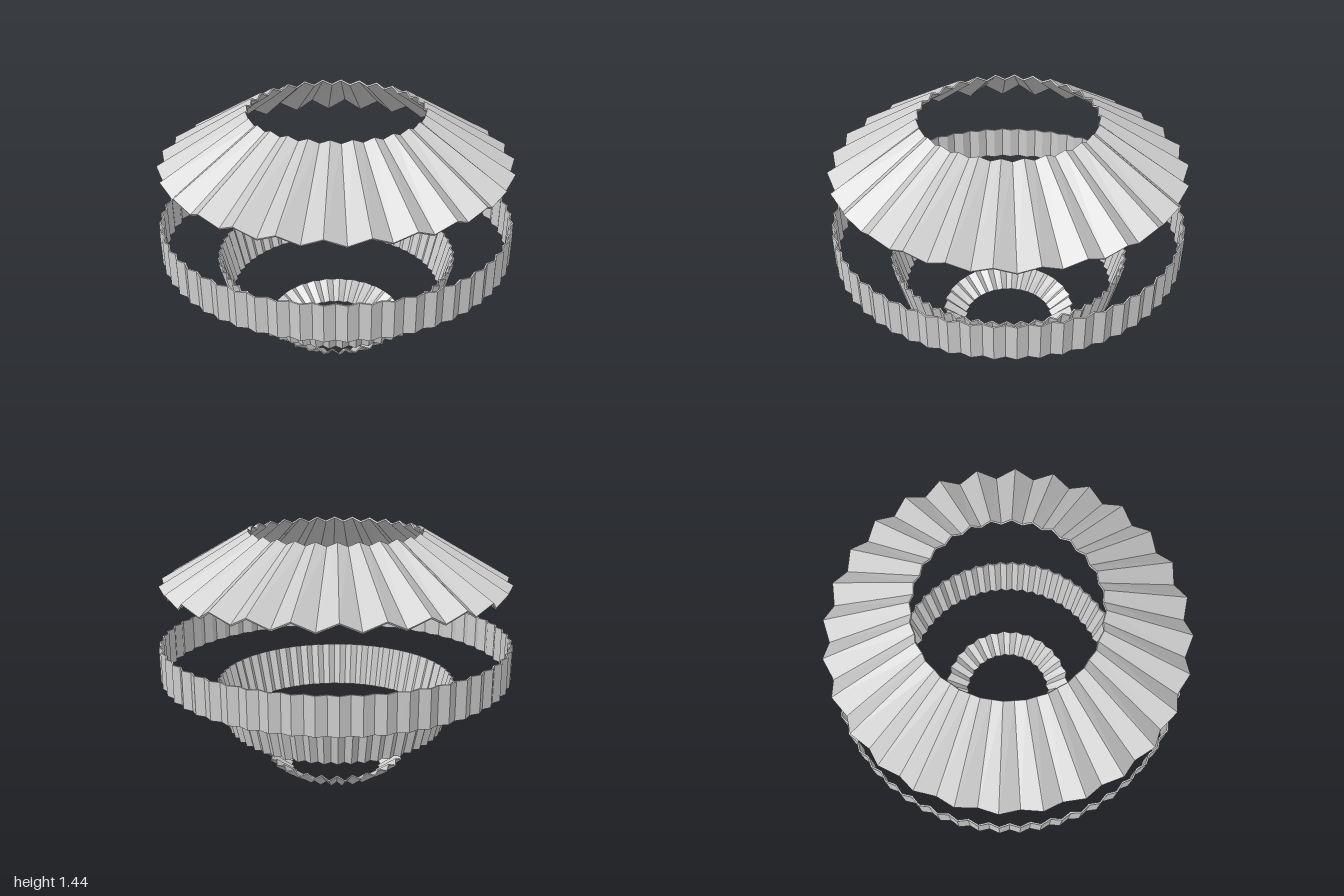
import * as THREE from 'three';

// Closed thin-walled pleated ring. Each fold line is [bottomR, bottomY, topR, topY];
// the two fold lines alternate around the ring. The wall thickens along (tr, ty).
function pleatedRing(pleats, foldA, foldB, tr, ty) {
  const steps = pleats * 2;
  const section = (i) => {
    const [r0, y0, r1, y1] = i % 2 ? foldB : foldA;
    const a = (i / steps) * Math.PI * 2;
    return [[r0, y0], [r1, y1], [r1 - tr, y1 - ty], [r0 - tr, y0 - ty]]
      .map(([r, y]) => [r * Math.sin(a), y, r * Math.cos(a)]);
  };
  const pos = [];
  for (let i = 0; i < steps; i++) {
    const p = section(i), q = section((i + 1) % steps);
    for (let k = 0; k < 4; k++) {
      const m = (k + 1) % 4;
      pos.push(...p[k], ...q[k], ...q[m], ...p[k], ...q[m], ...p[m]);
    }
  }
  const g = new THREE.BufferGeometry();
  g.setAttribute('position', new THREE.Float32BufferAttribute(pos, 3));
  g.computeVertexNormals();
  return g;
}

export function createModel() {
  const group = new THREE.Group();
  const paper = new THREE.MeshStandardMaterial({ color: 0xcccccc });
  paper.name = 'paleGrey';
  paper.flatShading = true;
  paper.side = THREE.DoubleSide;

  const add = (name, ...args) => {
    const mesh = new THREE.Mesh(pleatedRing(...args), paper);
    mesh.name = name;
    group.add(mesh);
  };

  // Wide sloping shade at the top
  add('upperShade', 28, [0.95, 1.107, 0.48, 1.417], [0.98, 1.16, 0.49, 1.44], 0.005, 0.009);
  // Upright band, the widest part
  add('middleBand', 56, [1.0, 0.615, 1.0, 0.82], [0.98, 0.615, 0.98, 0.82], 0.009, 0);
  // Slightly tapered collar
  add('lowerCollar', 56, [0.632, 0.303, 0.695, 0.558], [0.614, 0.308, 0.676, 0.566], 0.009, -0.002);
  // Small flared dish at the bottom
  add('bottomDish', 28, [0.278, 0.0, 0.408, 0.093], [0.262, 0.018, 0.388, 0.113], 0.004, -0.006);

  return group;
}
